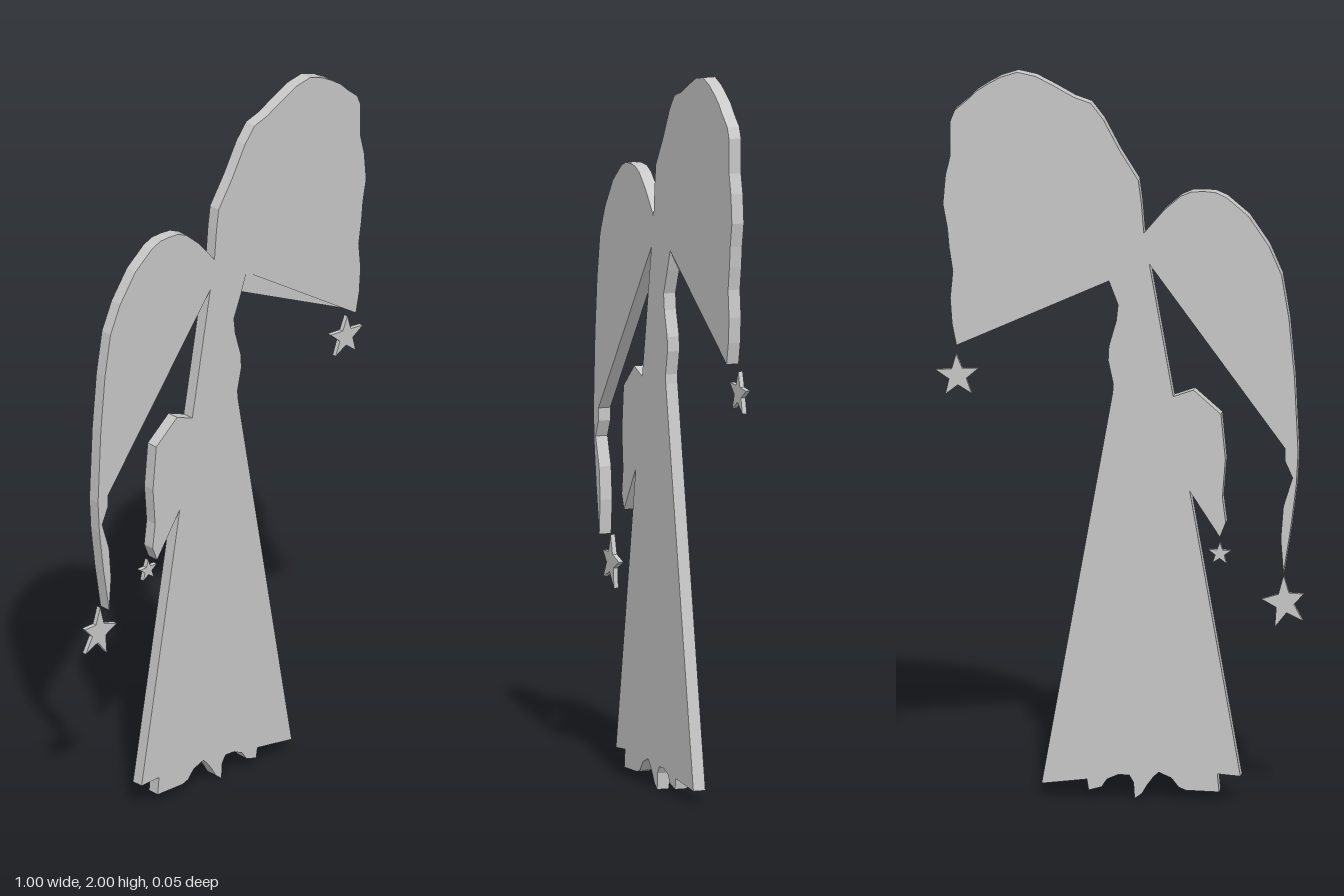
import * as THREE from 'three';

const grey = new THREE.MeshStandardMaterial({ color: 0xc8c8c8 });
grey.name = 'lightGrey';

// Flat plate cut from an outline, spanning z0 to z1
function plate(name, points, z0, z1) {
  const shape = new THREE.Shape(points.map(([x, y]) => new THREE.Vector2(x, y)));
  const geometry = new THREE.ExtrudeGeometry(shape, { depth: z1 - z0, bevelEnabled: false });
  geometry.translate(0, 0, z0);
  const mesh = new THREE.Mesh(geometry, grey);
  mesh.name = name;
  return mesh;
}

// Five-pointed star from its tips; inner corners lie between neighbouring tips
function star(name, x, y, tips) {
  const points = [];
  tips.forEach(([a, b], i) => {
    const [c, d] = tips[(i + 1) % 5];
    points.push([x + a, y + b], [x + (a + c) * 0.25, y + (b + d) * 0.25]);
  });
  return plate(name, points, -0.025, -0.012);
}

const regularTips = (r, tilt) => Array.from({ length: 5 }, (_, i) => {
  const a = Math.PI / 2 + tilt - i * Math.PI * 0.4;
  return [r * Math.cos(a), r * Math.sin(a)];
});

const rightWingOutline = [
  [-0.065, 1.565], [-0.058, 1.65], [-0.05, 1.71], [0, 1.79], [0.045, 1.875], [0.08, 1.92],
  [0.125, 1.935], [0.18, 1.965], [0.23, 1.99], [0.28, 2], [0.325, 1.985], [0.36, 1.965],
  [0.39, 1.945], [0.415, 1.92], [0.45, 1.89], [0.462, 1.86], [0.462, 1.765], [0.475, 1.71],
  [0.482, 1.63], [0.47, 1.565], [0.465, 1.51], [0.455, 1.445], [0.462, 1.37], [0.457, 1.3],
  [0.445, 1.24],
];
const notch = [0.05, 1.49], backNotch = [0.03, 1.43];
const dressOutline = [
  backNotch, [0.005, 1.365], [0.01, 1.32], [0.03, 1.25], [0.032, 1.21], [0.018, 1.145],
  [0.02, 1.12], [0.213, 0.035], [0.09, 0.05], [0.085, 0.02], [0.05, 0.03], [0.035, 0.052],
  [0.005, 0.065], [-0.025, 0.065], [-0.037, 0.045], [-0.04, 0], [-0.06, 0.015], [-0.075, 0.04],
  [-0.09, 0.06], [-0.105, 0.075], [-0.14, 0.06], [-0.16, 0.035], [-0.18, 0.027], [-0.27, 0.025],
  [-0.265, 0.075], [-0.328, 0.07], [-0.19, 0.855],
];
const sleeveOutline = [
  [-0.272, 0.73], [-0.288, 0.77], [-0.279, 0.84], [-0.287, 0.945], [-0.275, 1.07],
  [-0.2, 1.135], [-0.145, 1.115],
];
const leftWingOutline = [
  [-0.08, 1.48], [-0.45, 0.98], [-0.45, 0.945], [-0.47, 0.9], [-0.445, 0.82], [-0.438, 0.73],
  [-0.445, 0.635], [-0.465, 0.76], [-0.48, 0.88], [-0.485, 0.97], [-0.475, 1.18], [-0.46, 1.34],
  [-0.44, 1.46], [-0.405, 1.54], [-0.35, 1.62], [-0.29, 1.67], [-0.26, 1.683], [-0.23, 1.685],
  [-0.195, 1.683], [-0.165, 1.67], [-0.12, 1.63],
];

export function createModel() {
  const model = new THREE.Group();
  model.name = 'angelOrnament';

  // Winged figure in one plate
  const figure = plate('wingedFigure',
    [...rightWingOutline, notch, ...dressOutline, ...sleeveOutline, ...leftWingOutline], -0.013, 0.022);

  // Slope the underside of the larger wing: its back corner sits lower
  const { position, normal } = figure.geometry.attributes;
  for (let i = 0; i < position.count; i++) {
    const dist = Math.hypot(position.getX(i) - notch[0], position.getY(i) - notch[1]);
    if (dist < 0.001 && position.getZ(i) < 0) position.setXY(i, ...backNotch);
  }
  figure.geometry.computeVertexNormals();

  // Blend the sloped underside smoothly into the front face
  for (let i = 0; i < normal.count; i++) {
    const nz = normal.getZ(i);
    if (nz > 0.05 && nz < 0.99) normal.setXYZ(i, 0, 0, 1);
  }
  model.add(figure);

  // Hanging stars
  model.add(
    star('wingTipStar', 0.441, 1.158, regularTips(0.061, -0.06)),
    star('sleeveStar', -0.273, 0.687, regularTips(0.032, 0.02)),
    star('lowerWingStar', -0.449, 0.56,
      [[0.002, 0.072], [0.062, 0.005], [0.026, -0.072], [-0.05, -0.052], [-0.053, 0.022]]),
  );
  return model;
}
